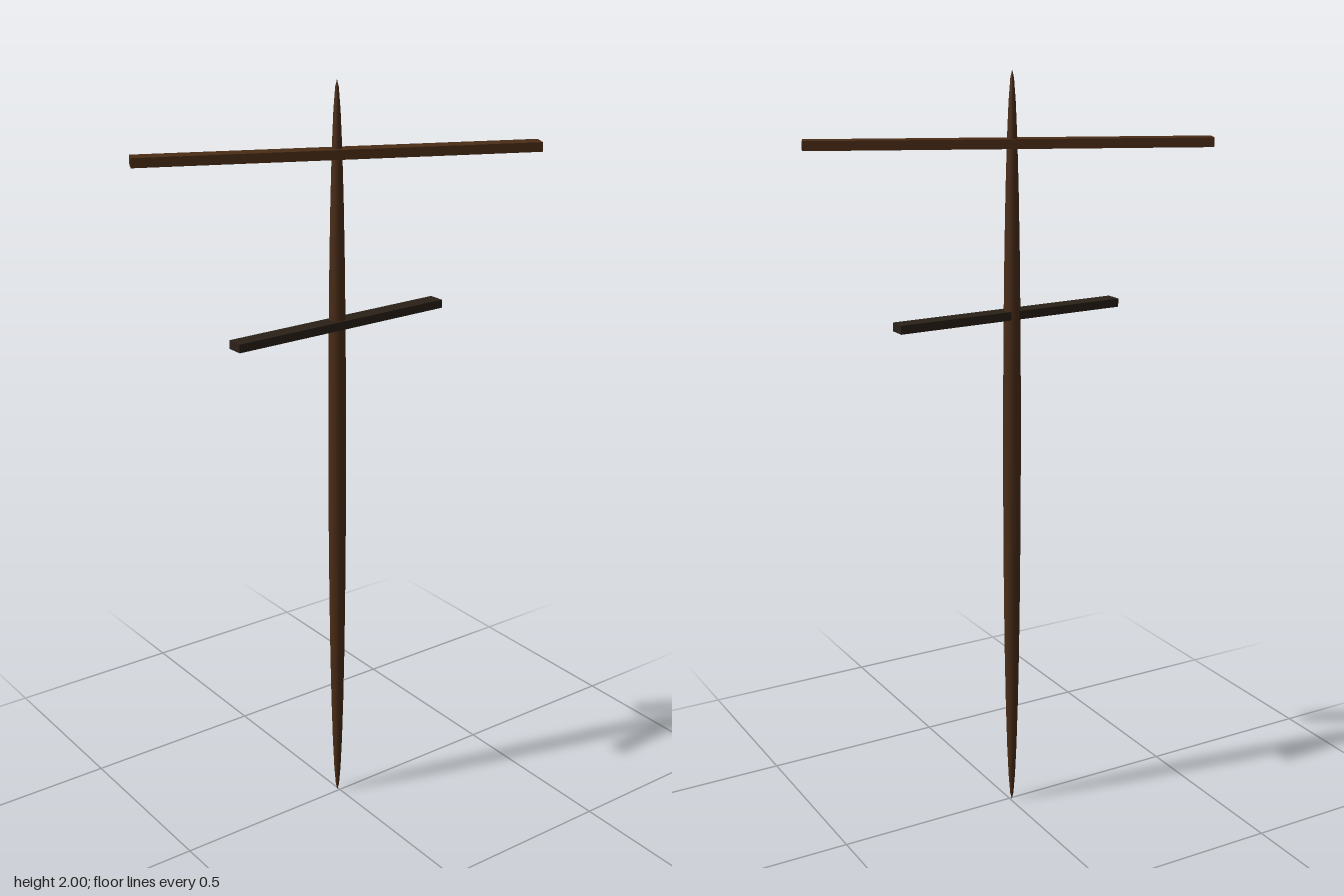
import * as THREE from 'three';

const brown = new THREE.MeshStandardMaterial({ color: 0x4a2c17 });
const darkBrown = new THREE.MeshStandardMaterial({ color: 0x2a2118 });

// Flat plank crossing the pole, turned about the vertical axis
function crossbar(name, length, height, depth, y, turn, material) {
  const bar = new THREE.Mesh(new THREE.BoxGeometry(length, height, depth), material);
  bar.name = name;
  bar.position.y = y;
  bar.rotation.y = turn;
  return bar;
}

export function createModel() {
  const model = new THREE.Group();
  model.name = 'crossedPole';

  // Slender spindle, pointed at both ends
  const pole = new THREE.Mesh(new THREE.SphereGeometry(1, 16, 16), brown);
  pole.name = 'pole';
  pole.scale.set(0.0235, 1, 0.0235);
  pole.position.set(-0.005, 1, -0.005);
  model.add(pole);

  // Two crossbars at different angles
  model.add(crossbar('upperCrossbar', 1.02, 0.024, 0.045, 1.822, -0.431, brown));
  model.add(crossbar('lowerCrossbar', 0.642, 0.022, 0.045, 1.39, 0.019, darkBrown));

  return model;
}
